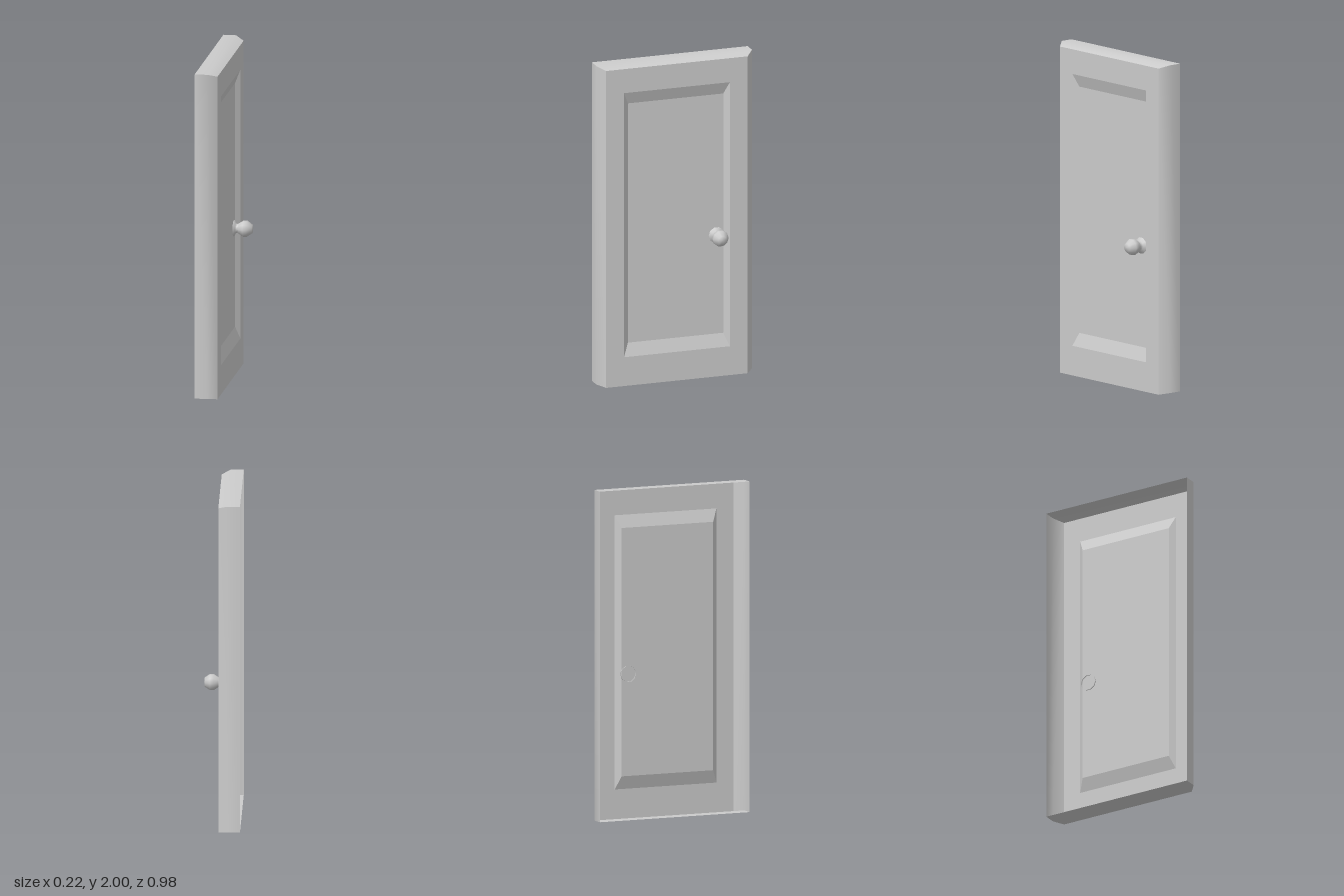
import * as THREE from 'three';
import { mergeGeometries } from 'three/addons/utils/BufferGeometryUtils.js';

const material = new THREE.MeshStandardMaterial({ color: 0xcccccc, side: THREE.DoubleSide });

// Rectangular frames in the z-y plane: x position, half width, bottom, top
const BACK = [-0.11, 0.49, 0.01, 2];
const KNEE = [-0.033, 0.49, 0.01, 2];
const FACE = [0.02, 0.445, 0, 1.98];
const RECESS = [0.02, 0.333, 0.18, 1.83];
const PANEL = [-0.006, 0.3, 0.26, 1.755];

const corners = ([x, w, y0, y1]) => [[x, y0, w], [x, y0, -w], [x, y1, -w], [x, y1, w]];

// Skins a row of frames: smooth along each side, sharp at the four corners
function skin(frames) {
  const rows = frames.map(corners);
  const sides = [0, 1, 2, 3].map((i) => {
    const points = rows.flatMap((r) => [...r[i], ...r[(i + 1) % 4]]);
    const index = [];
    for (let k = 0; k < rows.length - 1; k++) {
      const a = 2 * k;
      index.push(a, a + 1, a + 3, a, a + 3, a + 2);
    }
    const g = new THREE.BufferGeometry();
    g.setAttribute('position', new THREE.Float32BufferAttribute(points, 3));
    g.setIndex(index);
    g.computeVertexNormals();
    return g;
  });
  return mergeGeometries(sides);
}

export function createModel() {
  const group = new THREE.Group();
  const add = (name, geometry) => {
    const mesh = new THREE.Mesh(geometry, material);
    mesh.name = name;
    group.add(mesh);
    return mesh;
  };

  // Hollow door, open at the back
  add('doorEdge', skin([BACK, KNEE, FACE]));
  add('doorFrame', skin([FACE, RECESS]));
  add('recessBevel', skin([RECESS, PANEL]));

  // Sunken centre panel, facing +x
  const [px, pw, p0, p1] = PANEL;
  const panel = add('centrePanel', new THREE.PlaneGeometry(2 * pw, p1 - p0));
  panel.rotation.y = Math.PI / 2;
  panel.position.set(px, (p0 + p1) / 2, 0);

  // Turned knob: flange, neck and ball, open behind the panel
  const profile = [
    [0.05, -0.012], [0.05, -0.002], [0.031, 0.006], [0.026, 0.016], [0.032, 0.026],
    [0.049, 0.052], [0.049, 0.074], [0.026, 0.107], [0, 0.108],
  ].map(([r, x]) => new THREE.Vector2(r, x));
  const knob = add('knob', new THREE.LatheGeometry(profile, 10));
  knob.rotation.z = -Math.PI / 2;
  knob.position.set(0, 0.875, -0.258);

  return group;
}
